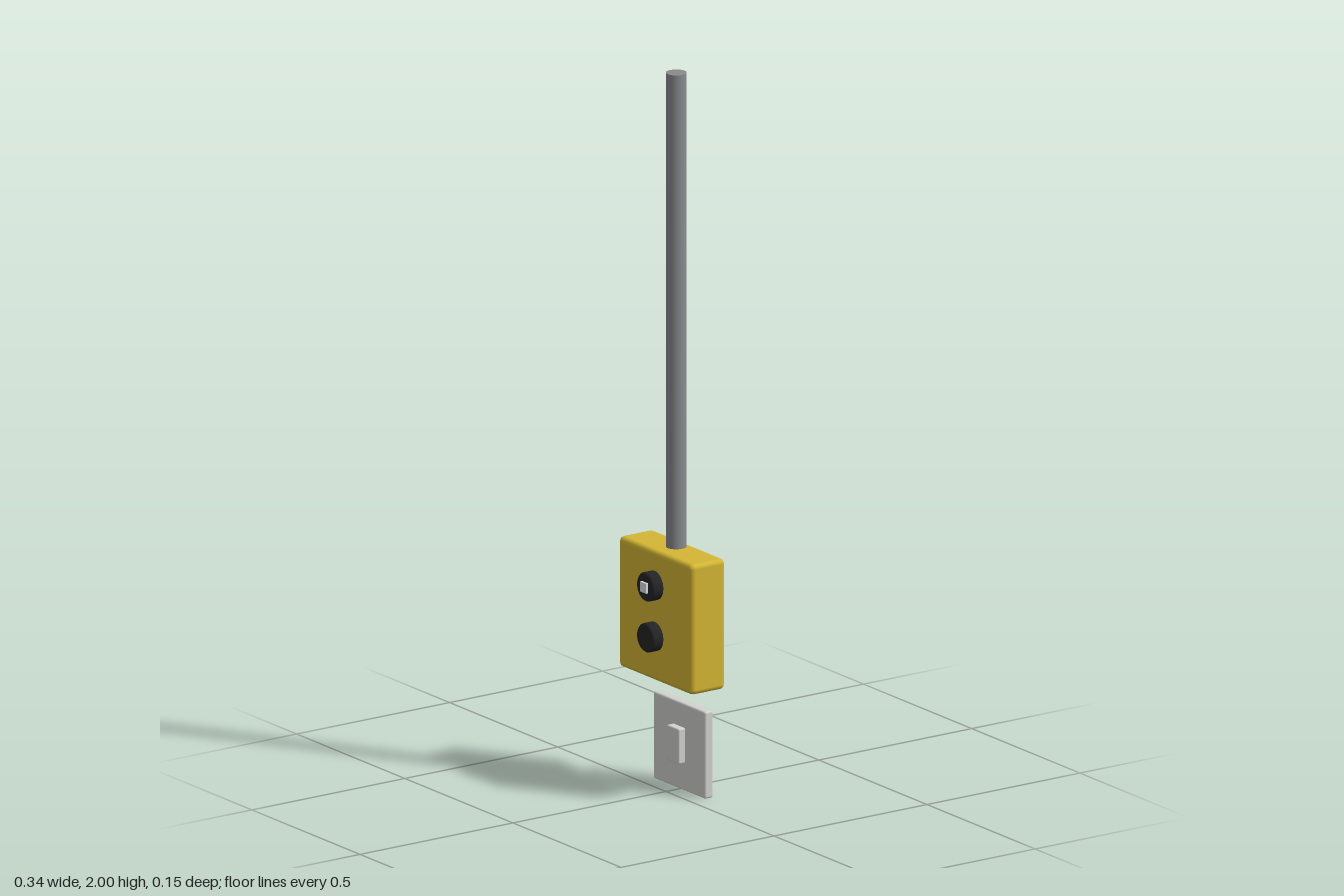
import * as THREE from 'three';
import { RoundedBoxGeometry } from 'three/addons/geometries/RoundedBoxGeometry.js';

const material = (name, color) => {
  const m = new THREE.MeshStandardMaterial({ color });
  m.name = name;
  return m;
};

export function createModel() {
  const group = new THREE.Group();
  const yellow = material('yellow', 0xd4b634);
  const grey = material('conduit grey', 0x8a8b8d);
  const black = material('button black', 0x242426);
  const pale = material('plate grey', 0xd2d2cf);
  const white = material('marker white', 0xdadfe4);

  const add = (name, geometry, mat, x, y, z) => {
    const mesh = new THREE.Mesh(geometry, mat);
    mesh.name = name;
    mesh.position.set(x, y, z);
    group.add(mesh);
    return mesh;
  };

  // Control box and the conduit rising from its top
  add('controlBox', new RoundedBoxGeometry(0.34, 0.364, 0.113, 2, 0.014), yellow, 0, 0.496, -0.02);
  add('conduit', new THREE.CylinderGeometry(0.028, 0.028, 1.33, 24), grey, 0, 1.335, -0.034);

  // Push buttons: short discs with a softened front rim
  const profile = [[0, 0], [0.04, 0], [0.04, 0], [0.04, 0.032], [0.04, 0.032], [0.037, 0.036], [0.037, 0.036], [0, 0.036]]
    .map(([r, h]) => new THREE.Vector2(r, h));
  const buttonGeometry = new THREE.LatheGeometry(profile, 32);
  for (const [name, y] of [['upperButton', 0.582], ['lowerButton', 0.44]]) {
    add(name, buttonGeometry, black, 0, y, 0.032).rotation.x = Math.PI / 2;
  }
  add('buttonMarker', new THREE.BoxGeometry(0.028, 0.028, 0.009), white, 0, 0.582, 0.0705);

  // Wall switch below the box
  add('switchPlate', new RoundedBoxGeometry(0.24, 0.243, 0.028, 2, 0.006), pale, 0, 0.1215, -0.057);
  add('switchToggle', new RoundedBoxGeometry(0.056, 0.098, 0.03, 2, 0.004), pale, 0, 0.127, -0.037);

  return group;
}
